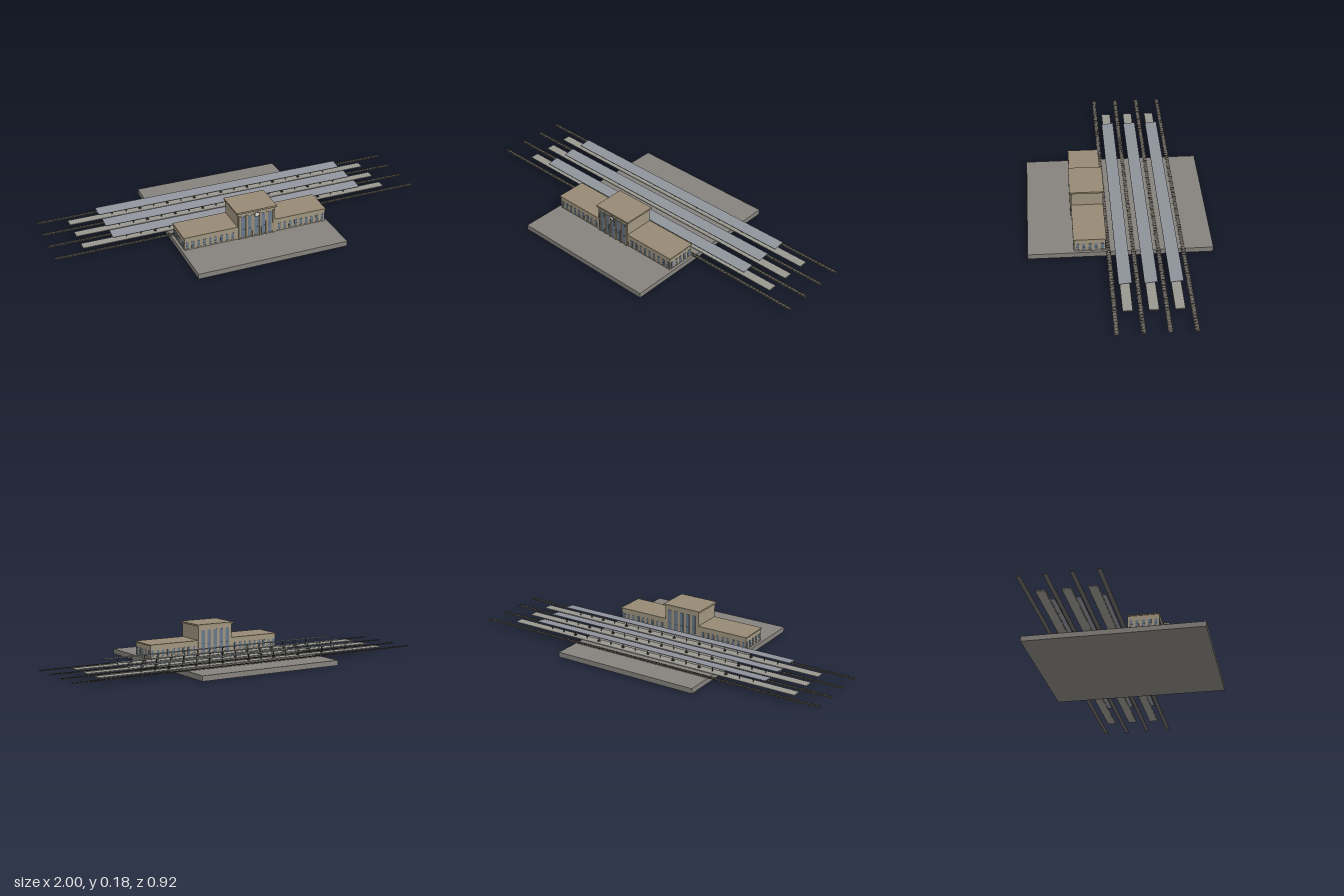
import * as THREE from 'three';

const mat = (color) => new THREE.MeshStandardMaterial({ color });
const stone = mat(0xa09580), trim = mat(0x968a74), paving = mat(0x85827d), ballast = mat(0x6e6a66),
  concrete = mat(0x98968f), roofMetal = mat(0x8f939b), steel = mat(0x44483f), glass = mat(0x68788a),
  wood = mat(0x4a4038), white = mat(0xd8d8d0);

// box from centre x/z and bottom/top heights
function box(parent, name, m, x, z, w, d, y0, y1) {
  const mesh = new THREE.Mesh(new THREE.BoxGeometry(w, y1 - y0, d), m);
  mesh.name = name;
  mesh.position.set(x, (y0 + y1) / 2, z);
  parent.add(mesh);
  return mesh;
}

function group(parent, name) {
  const g = new THREE.Group();
  g.name = name;
  parent.add(g);
  return g;
}

// one mesh of many equal boxes
function repeated(parent, name, m, size, places) {
  const mesh = new THREE.InstancedMesh(new THREE.BoxGeometry(...size), m, places.length);
  mesh.name = name;
  places.forEach((p, i) => mesh.setMatrixAt(i, new THREE.Matrix4().makeTranslation(...p)));
  parent.add(mesh);
}

// glazed opening with sill and crossbar, facing +z before turning
function windowUnit(parent, x, z, w, y0, y1, turn) {
  const g = group(parent, 'window');
  box(g, 'pane', glass, 0, 0, w, 0.002, y0, y1);
  box(g, 'crossbar', steel, 0, 0.0005, w, 0.002, y0 + (y1 - y0) * 0.38, y0 + (y1 - y0) * 0.38 + 0.0015);
  box(g, 'sill', trim, 0, 0.001, w + 0.004, 0.003, y0 - 0.002, y0);
  g.position.set(x, 0, z);
  g.rotation.y = turn;
}

const GROUND = 0.027;

function buildStation(root) {
  const g = group(root, 'stationBuilding');
  for (const s of [-1, 1]) {
    // low side wings
    const wing = group(g, s > 0 ? 'leftWing' : 'rightWing');
    box(wing, 'wingWalls', stone, s * 0.243, 0.153, 0.286, 0.157, GROUND, 0.094);
    box(wing, 'wingRoof', trim, s * 0.245, 0.153, 0.29, 0.164, 0.094, 0.099);
    for (let i = 0; i < 9; i++) {
      const x = s * (0.128 + i * 0.0305);
      windowUnit(wing, x, 0.232, 0.014, 0.036, 0.07, 0);
      windowUnit(wing, x, 0.074, 0.014, 0.036, 0.07, Math.PI);
    }
    for (let i = 0; i < 5; i++)
      windowUnit(wing, s * 0.3865, 0.153 + (i - 2) * 0.031, 0.015, 0.036, 0.07, s * Math.PI / 2);
  }

  // tall central hall
  const hall = group(g, 'centralHall');
  box(hall, 'hallWalls', stone, 0, 0.153, 0.206, 0.163, GROUND, 0.173);
  box(hall, 'hallRoof', trim, 0, 0.154, 0.22, 0.176, 0.173, 0.182);
  for (let i = -2; i <= 2; i++) {
    windowUnit(hall, i * 0.037, 0.235, 0.02, 0.034, 0.152, 0);
    windowUnit(hall, i * 0.037, 0.071, 0.02, 0.034, 0.152, Math.PI);
  }
  for (let i = -3; i <= 2; i++)
    box(hall, 'pilaster', trim, (i + 0.5) * 0.037, 0.236, 0.008, 0.006, GROUND, 0.158);

  // clock over the entrance
  const clock = new THREE.Mesh(new THREE.CylinderGeometry(0.012, 0.012, 0.003, 24), white);
  clock.name = 'clockFace';
  clock.rotation.x = Math.PI / 2;
  clock.position.set(0, 0.154, 0.2415);
  const rim = new THREE.Mesh(new THREE.TorusGeometry(0.012, 0.0012, 6, 24), steel);
  rim.name = 'clockRim';
  rim.position.set(0, 0.154, 0.2425);
  hall.add(clock, rim);
  box(hall, 'clockBracket', steel, 0, 0.238, 0.006, 0.006, 0.152, 0.156);
}

function buildTrack(root, z) {
  const g = group(root, 'track');
  box(g, 'trackBed', ballast, 0, z, 2, 0.022, GROUND, 0.0285);
  const ties = [];
  for (let x = -0.99; x < 1; x += 0.02) ties.push([x, 0.0287, z]);
  repeated(g, 'sleepers', wood, [0.007, 0.0014, 0.018], ties);
  for (const s of [-1, 1]) box(g, 'rail', steel, 0, z + s * 0.0062, 2, 0.0015, 0.029, 0.0308);
}

function buildPlatform(root, z) {
  const g = group(root, 'platform');
  box(g, 'platformBase', concrete, 0, z, 1.69, 0.04, GROUND, 0.029);
  box(g, 'platformDeck', concrete, 0, z, 1.69, 0.048, 0.029, 0.0325);
  // sloping canopy with a small front lip
  const canopy = box(g, 'canopyRoof', roofMetal, 0, z, 1.384, 0.064, 0.0645, 0.0668);
  canopy.rotation.x = 0.125;
  box(g, 'canopyLip', steel, 0, z + 0.0315, 1.384, 0.001, 0.0605, 0.063);
  // posts, roof arms and benches
  const posts = [], arms = [], seats = [];
  for (let i = -8; i <= 8; i++) {
    posts.push([i * 0.0765, 0.048, z]);
    arms.push([i * 0.0765, 0.0625, z]);
    if (i % 2 === 0 && Math.abs(i) < 8) seats.push([i * 0.0765, 0.0355, z]);
  }
  repeated(g, 'posts', steel, [0.003, 0.034, 0.003], posts);
  repeated(g, 'roofArms', steel, [0.003, 0.002, 0.024], arms);
  repeated(g, 'benches', wood, [0.012, 0.006, 0.008], seats);
}

export function createModel() {
  const root = new THREE.Group();
  root.name = 'railwayStation';
  box(root, 'groundSlab', paving, 0, 0, 0.8, 0.924, 0, GROUND);
  buildStation(root);
  for (let i = 0; i < 4; i++) buildTrack(root, 0.061 - i * 0.1235);
  for (let i = 0; i < 3; i++) buildPlatform(root, -i * 0.1235);
  return root;
}
